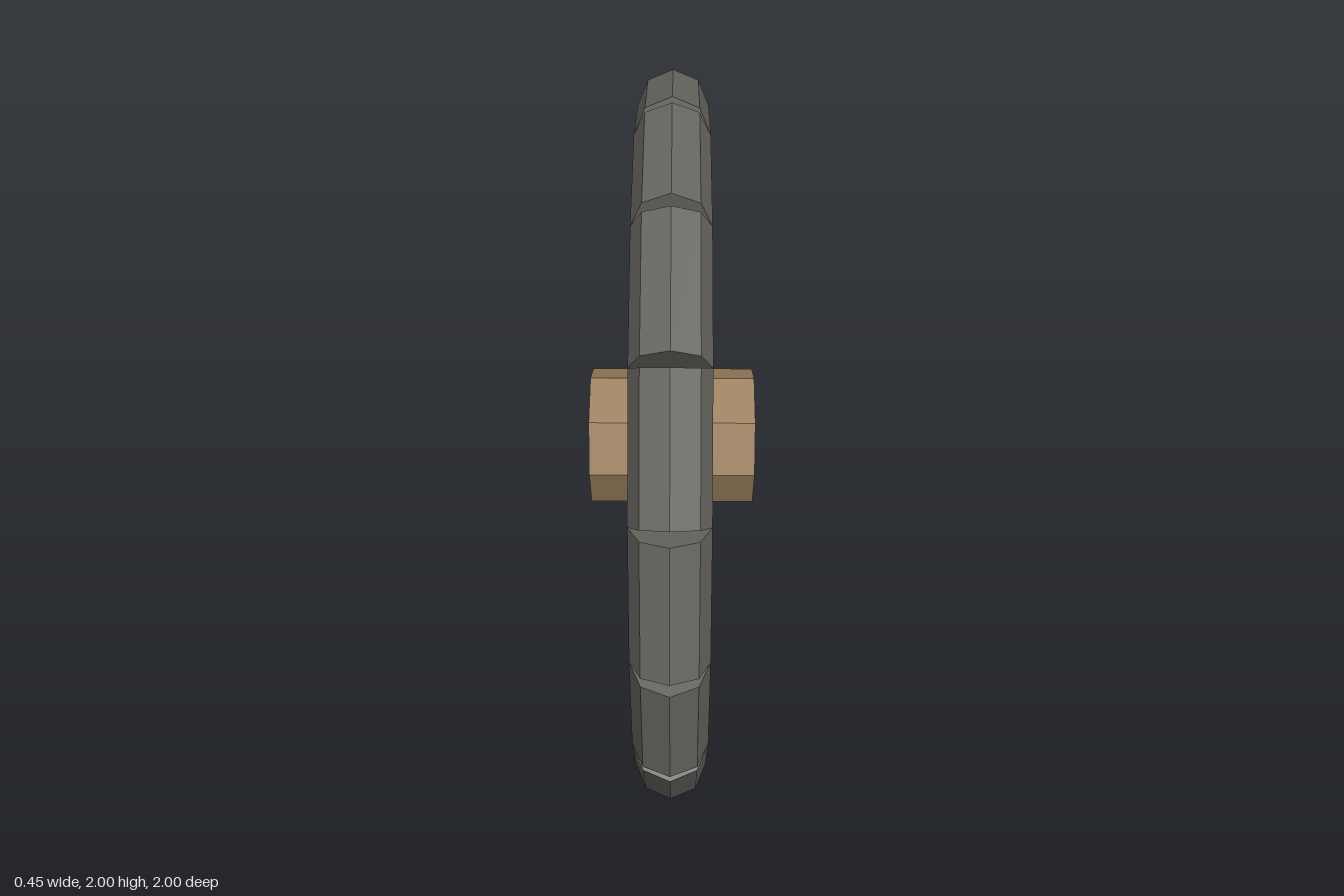
import * as THREE from 'three';

export function createModel() {
  const wood = new THREE.MeshStandardMaterial({ color: 0x9c805e, flatShading: true });
  wood.name = 'wood';
  const iron = new THREE.MeshStandardMaterial({ color: 0x686660, flatShading: true });
  iron.name = 'darkRim';

  const wheel = new THREE.Group();
  wheel.name = 'wheel';
  wheel.position.y = 1;

  const add = (name, geometry, material, angle = 0) => {
    const mesh = new THREE.Mesh(geometry, material);
    mesh.name = name;
    mesh.rotation.x = angle;
    wheel.add(mesh);
  };

  // Rim: sixteen straight octagonal bars meeting at their centre lines
  const count = 16;
  const rimRadius = 0.89;
  const barLength = 2 * rimRadius * Math.tan(Math.PI / count);
  const bar = new THREE.CylinderGeometry(0.095, 0.095, barLength, 8)
    .rotateX(Math.PI / 2)
    .translate(0, rimRadius, 0);
  for (let i = 0; i < count; i++) {
    add('rimSegment', bar, iron, ((i + 0.5) / count) * Math.PI * 2);
  }

  // Spokes: slightly tapered hexagonal rods from hub to rim
  const inner = 0.08, outer = 0.86;
  const spoke = new THREE.CylinderGeometry(0.069, 0.08, outer - inner, 6)
    .translate(0, (inner + outer) / 2, 0);
  for (let i = 0; i < 8; i++) add('spoke', spoke, wood, (i / 8) * Math.PI * 2);

  // Hub: octagonal drum along the axle
  add('hub', new THREE.CylinderGeometry(0.19, 0.19, 0.45, 8).rotateZ(Math.PI / 2), wood);

  const model = new THREE.Group();
  model.name = 'spokedWheel';
  model.add(wheel);
  return model;
}
